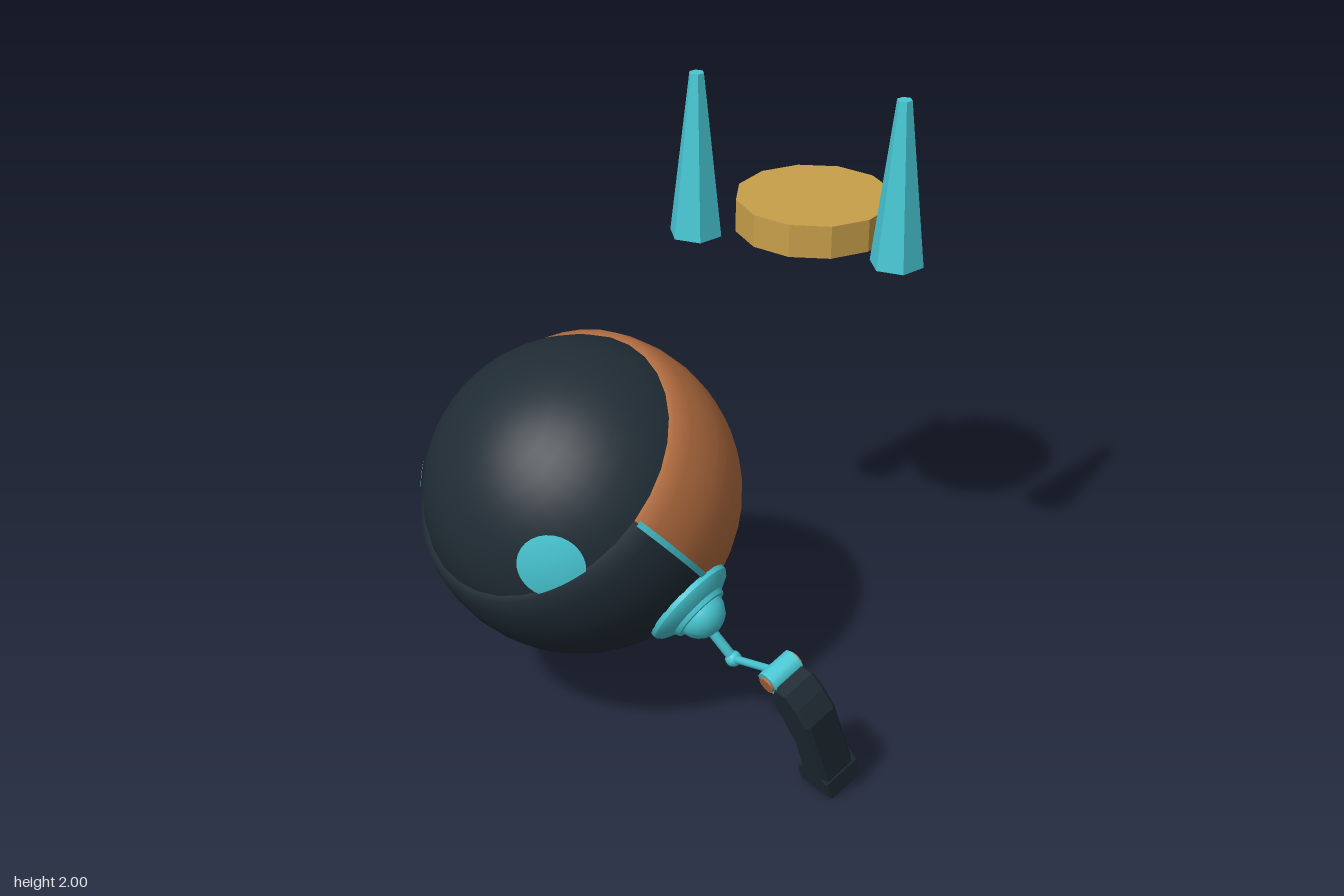
import * as THREE from 'three';
import { toCreasedNormals } from 'three/addons/utils/BufferGeometryUtils.js';

const V = (x, y, z) => new THREE.Vector3(x, y, z);
const UP = V(0, 1, 0);
const CENTER = V(0, 0.779, 0.372); // body centre
const TILT = 0.726;                // body leans back, opening faces up and forward
const R = 0.525, INNER = 0.507, OPEN = Math.acos(0.208 / R);

export function createModel() {
  const model = new THREE.Group();
  model.name = 'roundRobot';

  const material = (name, color) => {
    const m = new THREE.MeshStandardMaterial({ color });
    m.name = name;
    return m;
  };
  const navy = material('navy', 0x202c35);
  const cyan = material('cyan', 0x48c8d4);
  const copper = material('copper', 0xb26c3f);
  const gold = material('gold', 0xc8a04a);

  const add = (parent, name, geometry, mat, pos) => {
    const mesh = new THREE.Mesh(geometry, mat);
    mesh.name = name;
    if (pos) mesh.position.copy(pos);
    parent.add(mesh);
    return mesh;
  };

  // Straight round bar between two points
  const rod = (parent, name, a, b, r, mat) => {
    const mesh = add(parent, name, new THREE.CylinderGeometry(r, r, a.distanceTo(b), 10), mat,
      a.clone().lerp(b, 0.5));
    mesh.quaternion.setFromUnitVectors(UP, b.clone().sub(a).normalize());
  };

  // Plate outline extruded along z with a small bevel
  const plate = (points, z0, z1, bevel) => {
    const g = new THREE.ExtrudeGeometry(
      new THREE.Shape(points.map(p => new THREE.Vector2(p[0], p[1]))),
      { depth: z1 - z0 - 2 * bevel, bevelThickness: bevel, bevelSize: bevel, bevelOffset: -bevel, bevelSegments: 1 });
    g.translate(0, 0, z0 + bevel);
    return g;
  };

  // Body: inner ball, two shell halves and the trim band between them
  const body = new THREE.Group();
  body.name = 'body';
  body.position.copy(CENTER);
  body.rotation.x = TILT;
  model.add(body);
  add(body, 'face', new THREE.SphereGeometry(INNER, 32, 24), navy);

  const profile = [];
  for (let i = 0; i <= 16; i++) {
    const t = Math.PI + (OPEN - Math.PI) * i / 16;
    profile.push(new THREE.Vector2(Math.max(0, R * Math.sin(t)), R * Math.cos(t)));
  }
  profile.push(new THREE.Vector2(0.455, R * Math.cos(OPEN)));
  const half = start => new THREE.LatheGeometry(profile, 20, start, Math.PI);
  add(body, 'frontShell', half(-Math.PI / 2), navy);
  add(body, 'backShell', half(Math.PI / 2), copper);

  const band = new THREE.Shape();
  const a0 = Math.PI / 2 + OPEN, a1 = Math.PI * 2.5 - OPEN;
  band.absarc(0, 0, R + 0.002, a0, a1, false);
  band.absarc(0, 0, 0.47, a1, a0, true);
  const bandGeometry = new THREE.ExtrudeGeometry(band, { depth: 0.02, bevelEnabled: false, curveSegments: 32 });
  bandGeometry.translate(0, 0, -0.01);
  add(body, 'trimBand', bandGeometry, cyan);

  for (const s of [1, -1]) {
    const side = s > 0 ? 'left' : 'right';

    // Eye: thin cap on the ball
    const eye = add(model, side + 'Eye',
      new THREE.SphereGeometry(INNER + 0.006, 28, 6, 0, Math.PI * 2, 0, 0.212), cyan, CENTER);
    eye.quaternion.setFromUnitVectors(UP, V(0.34 * s, 0.025, 0.365).normalize());

    // Shoulder socket with a dome
    const arm = new THREE.Group();
    arm.name = side + 'Arm';
    model.add(arm);
    const axis = V(0.84 * s, -0.5, -0.21).normalize();
    const socketProfile = [[0.16, 0.45], [0.157, 0.515], [0.145, 0.53], [0.105, 0.55], [0.098, 0.565], [0, 0.57]]
      .map(p => new THREE.Vector2(p[0], p[1]));
    const socket = add(arm, 'shoulderSocket',
      toCreasedNormals(new THREE.LatheGeometry(socketProfile, 24), 0.5), cyan, CENTER);
    socket.quaternion.setFromUnitVectors(UP, axis);
    add(arm, 'shoulderDome', new THREE.SphereGeometry(0.085, 16, 10), cyan,
      CENTER.clone().addScaledVector(axis, 0.555));

    // Thin bent arm
    const elbow = V(0.56 * s, 0.345, 0.19), wrist = V(0.837 * s, 0.462, 0.235);
    rod(arm, 'upperArm', V(0.5 * s, 0.45, 0.24), elbow, 0.017, cyan);
    add(arm, 'elbow', new THREE.SphereGeometry(0.027, 12, 8), cyan, elbow);
    rod(arm, 'forearm', elbow, wrist, 0.013, cyan);

    // Leg, tilted so the foot points back
    const leg = new THREE.Group();
    leg.name = side + 'Leg';
    leg.position.copy(wrist);
    leg.rotation.x = 0.36;
    arm.add(leg);
    rod(leg, 'hub', V(0, 0, -0.058), V(0, 0, 0.058), 0.042, cyan);
    rod(leg, 'hubPin', V(0, 0, -0.066), V(0, 0, 0.066), 0.029, copper);
    const mirror = points => points.map(([x, y]) => [x * s, y]);
    add(leg, 'shin', plate(mirror([[0.025, 0.005], [0.09, 0.008], [0.122, -0.045], [0.148, -0.115],
      [0.137, -0.39], [0.02, -0.39], [0.032, -0.25], [-0.002, -0.11], [0, -0.055]]), -0.062, 0.062, 0.012), navy);
    add(leg, 'foot', plate(mirror([[-0.013, -0.473], [0.133, -0.473], [0.136, -0.40],
      [0.115, -0.365], [0.025, -0.37], [-0.009, -0.41]]), -0.075, 0.062, 0.006), navy);
  }

  // Floating spikes and disc
  const faceted = (top, bottom, height, sides) =>
    toCreasedNormals(new THREE.CylinderGeometry(top, bottom, height, sides), 0.1);
  for (const [x, z] of [[-0.2, -0.275], [0.397, -0.62]])
    add(model, 'spike', faceted(0.025, 0.09, 0.56, 6), cyan, V(x, 1.72, z));
  add(model, 'disc', faceted(0.265, 0.265, 0.113, 12), gold, V(0, 1.492, -0.62));

  return model;
}
